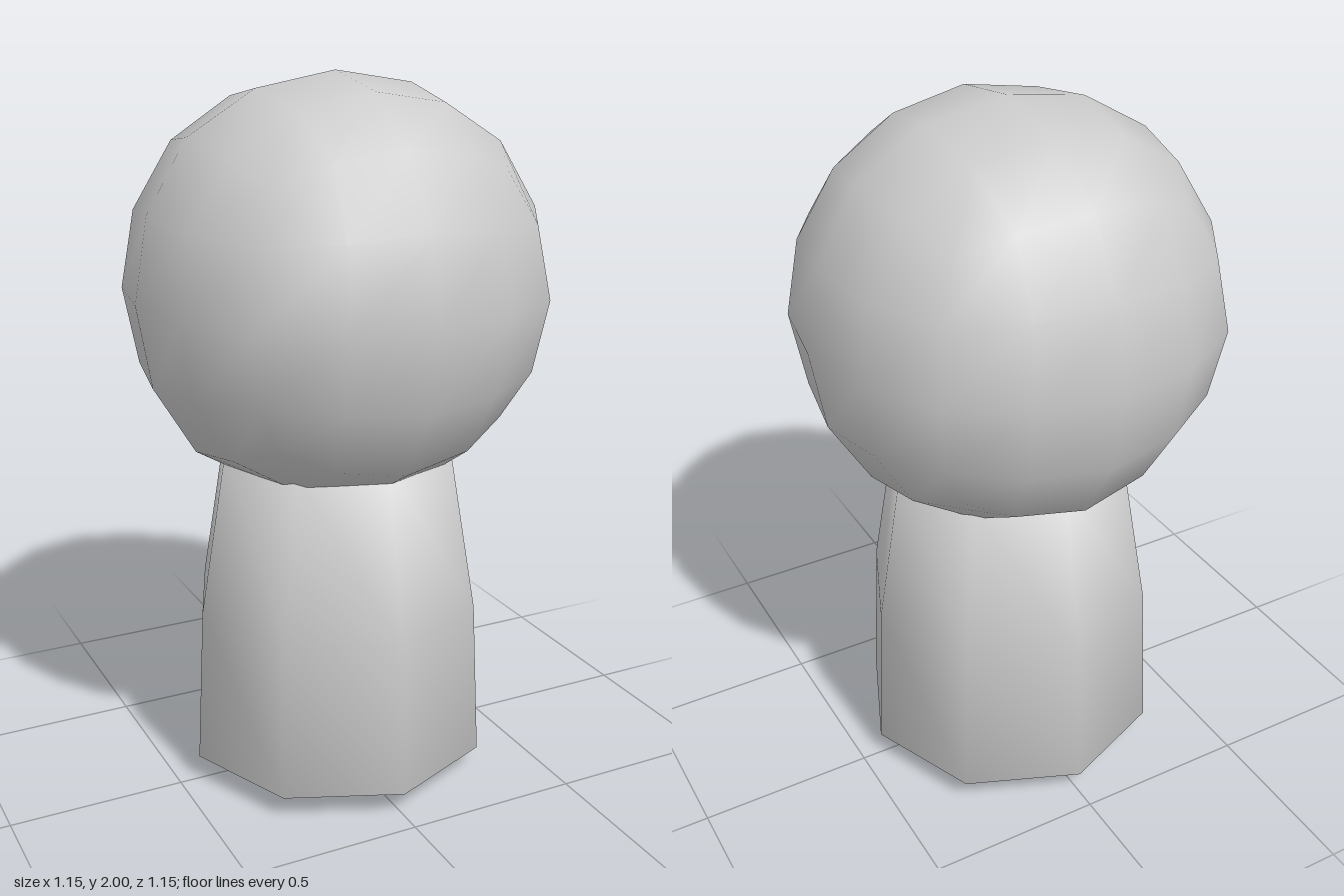
import * as THREE from 'three';
import { mergeVertices } from 'three/addons/utils/BufferGeometryUtils.js';

const material = new THREE.MeshStandardMaterial({ color: 0xcccccc, side: THREE.DoubleSide });

// Rounded cube: each grid step (0, 1 or 2 from the centre) maps to a distance,
// chosen by the vertex's sorted steps, e.g. 222 is a cube corner.
const ROUNDING = {
  200: [0, 0, 0.575],
  210: [0, 0.229, 0.536],
  220: [0, 0, 0.421],
  211: [0, 0.213, 0.5],
  221: [0, 0.198, 0.392],
  222: [0, 0, 0.333],
};

function roundedCube() {
  let geometry = new THREE.BoxGeometry(4, 4, 4, 4, 4, 4);
  geometry.deleteAttribute('uv');
  geometry.deleteAttribute('normal');
  geometry = mergeVertices(geometry);
  const position = geometry.attributes.position;
  for (let i = 0; i < position.count; i++) {
    const steps = [position.getX(i), position.getY(i), position.getZ(i)].map(Math.round);
    const key = steps.map(Math.abs).sort((a, b) => b - a).join('');
    position.setXYZ(i, ...steps.map((s) => Math.sign(s) * ROUNDING[key][Math.abs(s)]));
  }
  geometry.computeVertexNormals();
  return geometry;
}

export function createModel() {
  const group = new THREE.Group();
  group.name = 'pegFigure';

  // Tapered eight-sided body with a bevelled foot, running up into the head
  const profile = [
    [0, 0], [0.31, 0], [0.44, 0.07], [0.417, 0.52], [0.335, 1], [0, 1.02],
  ].map(([r, y]) => new THREE.Vector2(r, y));
  const body = new THREE.Mesh(new THREE.LatheGeometry(profile, 8), material);
  body.name = 'body';
  group.add(body);

  // Ball head
  const head = new THREE.Mesh(roundedCube(), material);
  head.name = 'head';
  head.position.y = 1.425;
  group.add(head);

  return group;
}
